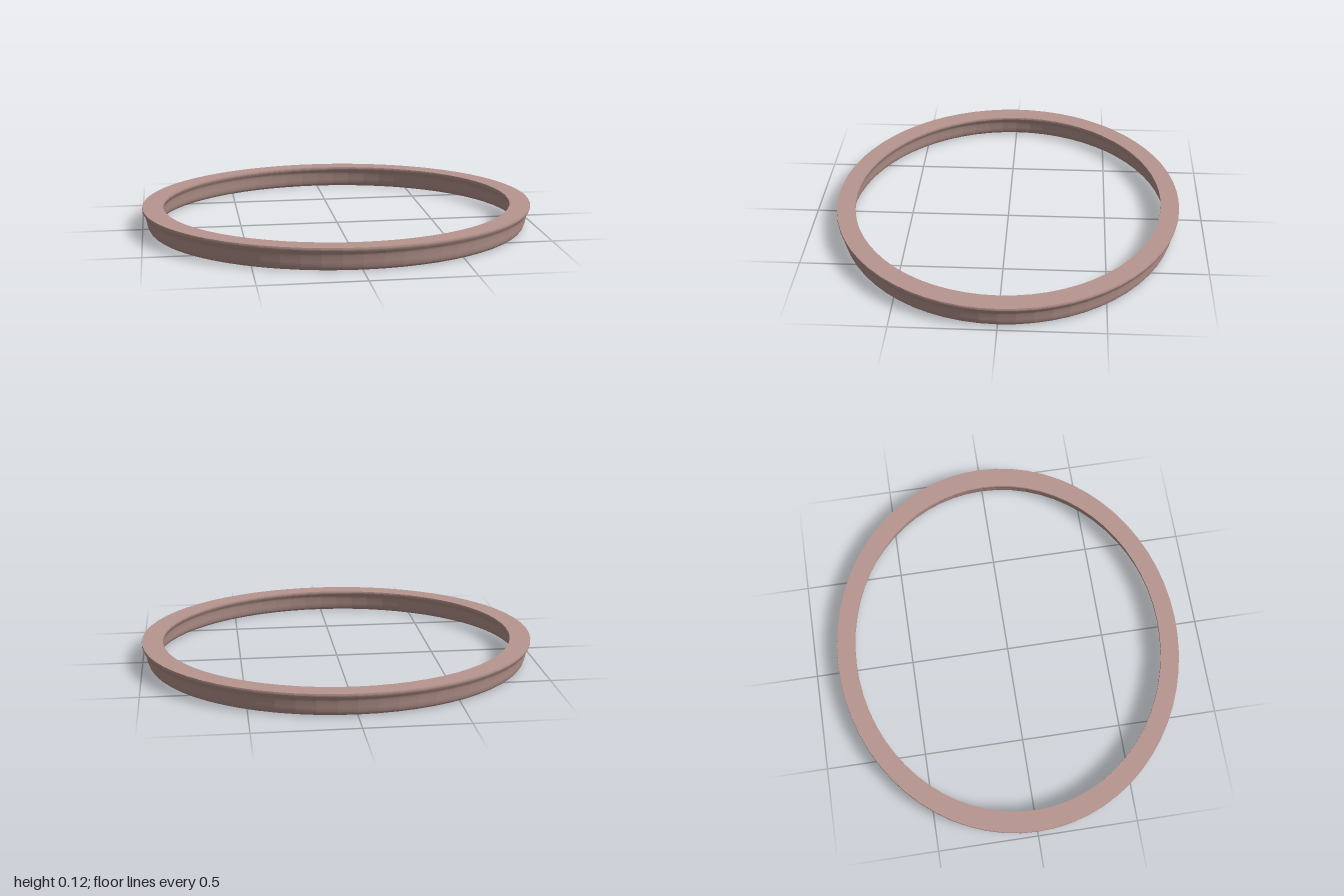
import * as THREE from 'three';

export function createModel() {
  const group = new THREE.Group();
  const mid = 0.9465, height = 0.118, depthRatio = 0.877;

  // Half of the symmetric cross-section: offset from the rim's centre line, height
  const side = new THREE.SplineCurve([
    [0, 0], [0.012, 0.003], [0.022, 0.013], [0.029, 0.032], [0.034, 0.058],
    [0.04, 0.082], [0.049, 0.097], [0.0535, 0.108], [0.0525, height],
  ].map(([x, y]) => new THREE.Vector2(x, y))).getPoints(28);

  // Outer side upwards, flat top, inner side downwards
  const profile = [
    ...side.map(p => new THREE.Vector2(mid + p.x, p.y)),
    ...side.slice().reverse().map(p => new THREE.Vector2(mid - p.x, p.y)),
  ];

  // Oval rim: swept round a circle, then narrowed front to back
  const geometry = new THREE.LatheGeometry(profile, 64);
  geometry.scale(1, 1, depthRatio);
  const rim = new THREE.Mesh(geometry,
    new THREE.MeshStandardMaterial({ color: 0xb8968f, flatShading: true }));
  rim.name = 'ovalRim';
  group.add(rim);
  return group;
}
